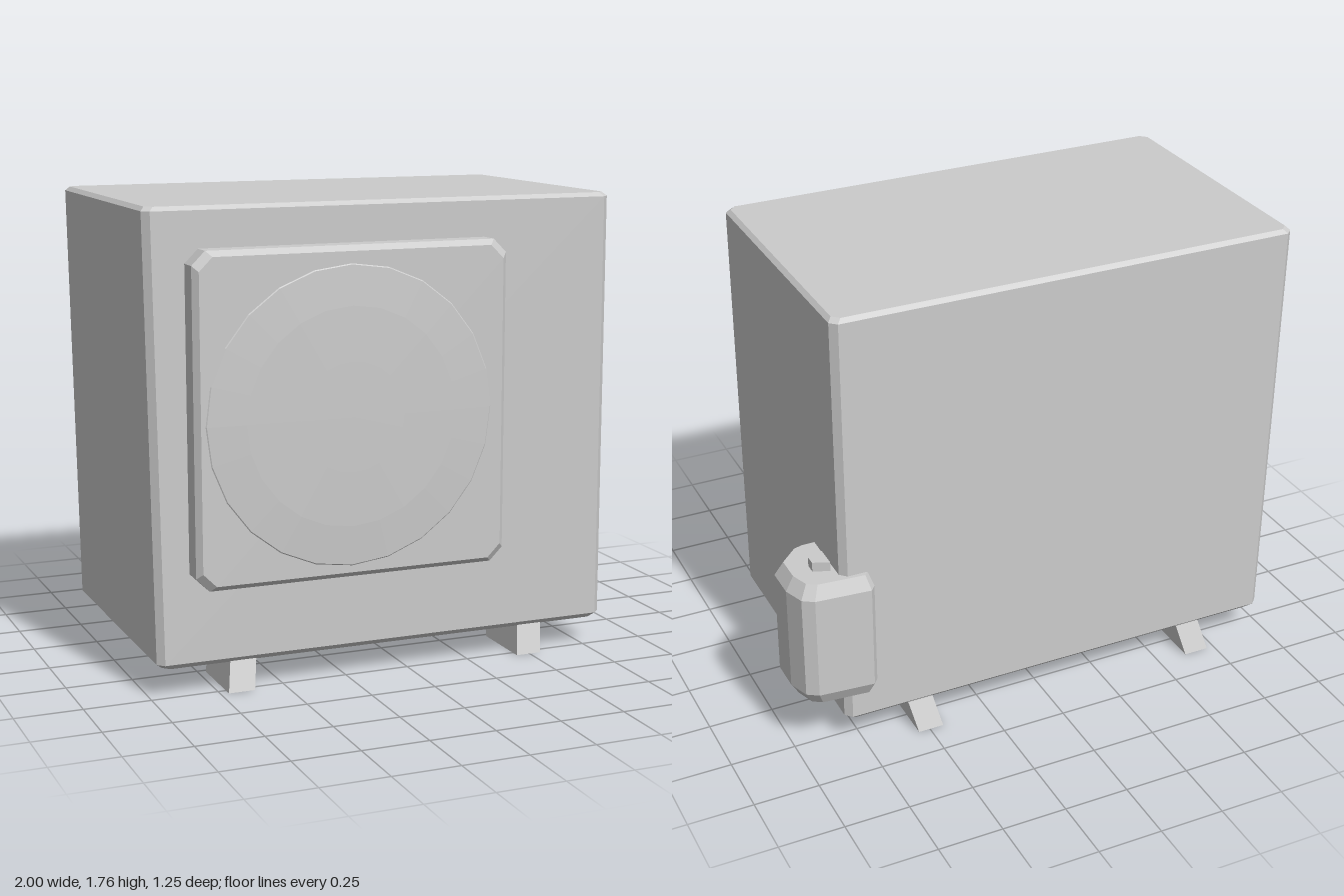
import * as THREE from 'three';
import { ConvexGeometry } from 'three/addons/geometries/ConvexGeometry.js';

const material = new THREE.MeshStandardMaterial({ color: 0xcccccc, flatShading: true });

// Flat-faced solid wrapped around a list of [x, y, z] corners
function solid(name, points) {
  const geometry = new ConvexGeometry(points.map((p) => new THREE.Vector3(...p)));
  const mesh = new THREE.Mesh(geometry, material);
  mesh.name = name;
  return mesh;
}

// Rectangle with cut corners, as [u, v] pairs
function cutRect(u0, u1, v0, v1, c) {
  return [
    [u0 + c, v0], [u1 - c, v0], [u1, v0 + c], [u1, v1 - c],
    [u1 - c, v1], [u0 + c, v1], [u0, v1 - c], [u0, v0 + c],
  ];
}

export function createModel() {
  const model = new THREE.Group();
  model.name = 'outdoorUnit';

  // Cabinet: chamfered box whose left-hand wall leans out slightly toward the top
  const cabinetLevels = [
    [0.105, 0.02, -0.97], [0.125, 0, -0.975], [1.745, 0, -1], [1.76, 0.015, -1],
  ];
  model.add(solid('cabinet', cabinetLevels.flatMap(([y, inset, left]) =>
    cutRect(left + inset, 0.818 - inset, -0.58 + inset, 0.513 - inset, 0.025)
      .map(([x, z]) => [x, y, z]))));

  // Raised square fan panel on the front
  const panelLevels = [[0.49, 0], [0.59, 0], [0.612, 0.02]];
  model.add(solid('fanPanel', panelLevels.flatMap(([z, inset]) =>
    cutRect(-0.855 + inset, 0.345 - inset, 0.405 + inset, 1.612 - inset, 0.05)
      .map(([x, y]) => [x, y, z]))));

  // Shallow domed fan cover
  const coverProfile = [[0.55, 0], [0.545, 0.004], [0.4, 0.012], [0.2, 0.015], [0, 0.016]]
    .map(([r, h]) => new THREE.Vector2(r, h));
  const cover = new THREE.Mesh(new THREE.LatheGeometry(coverProfile, 24), material);
  cover.name = 'fanCover';
  cover.rotation.x = Math.PI / 2;
  cover.position.set(-0.27, 1.0, 0.611);
  model.add(cover);

  // Valve cover wrapped around the rear corner: bevelled at top and bottom
  const outline = [
    [0.70, -0.60], [0.72, -0.625], [0.93, -0.607], [0.972, -0.58],
    [1.0, -0.5], [1.0, -0.38], [0.92, -0.3], [0.88, -0.288], [0.72, -0.288],
  ];
  const valveLevels = [[0.232, 0.84], [0.285, 1], [0.695, 1], [0.748, 0.84]];
  model.add(solid('valveCover', valveLevels.flatMap(([y, s]) =>
    outline.map(([x, z]) => [0.8 + (x - 0.8) * s, y, -0.455 + (z + 0.455) * s]))));

  // Small tapered nub on top of the valve cover
  model.add(solid('valveNub', [0.73, 0.785].flatMap((y) => [
    [0.835, y, -0.52], [0.895, y, -0.495], [0.895, y, -0.455], [0.835, y, -0.437],
  ])));

  // Four slanted feet; each row is [bottom z0, bottom z1, top z0, top z1]
  const feet = { front: [0.27, 0.535, 0.22, 0.495], back: [-0.62, -0.36, -0.57, -0.32] };
  for (const [row, [b0, b1, t0, t1]] of Object.entries(feet)) {
    for (const [side, x] of [['Right', -0.72], ['Left', 0.445]]) {
      const ring = (y, shift, z0, z1) => [
        [x + shift, y, z0], [x + shift + 0.1, y, z0],
        [x + shift + 0.1, y, z1], [x + shift, y, z1],
      ];
      model.add(solid(`${row}${side}Foot`, [...ring(0, 0, b0, b1), ...ring(0.11, 0.02, t0, t1)]));
    }
  }
  return model;
}
